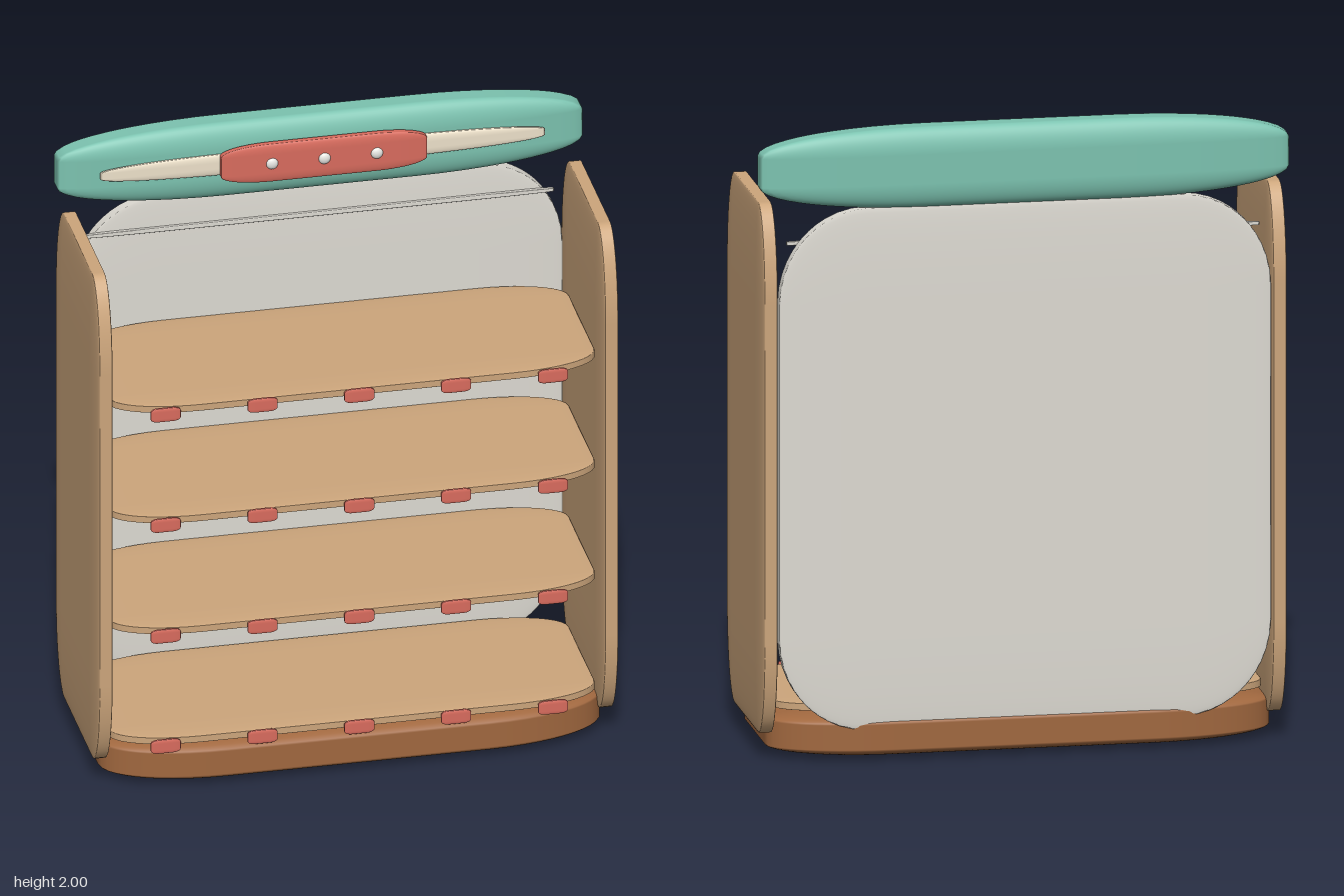
import * as THREE from 'three';
import { RoundedBoxGeometry } from 'three/addons/geometries/RoundedBoxGeometry.js';

const mat = (color) => new THREE.MeshStandardMaterial({ color });

// Soft slab: a rounded unit cube stretched to fill the given ranges,
// so its corners become broad, elliptical curves.
function slab(name, material, [x0, x1], [y0, y1], [z0, z1], radius = 0.18) {
  const geometry = new RoundedBoxGeometry(1, 1, 1, 6, radius);
  geometry.scale(x1 - x0, y1 - y0, z1 - z0);
  const mesh = new THREE.Mesh(geometry, material);
  mesh.name = name;
  mesh.position.set((x0 + x1) / 2, (y0 + y1) / 2, (z0 + z1) / 2);
  return mesh;
}

export function createModel() {
  const model = new THREE.Group();
  model.name = 'shopShelf';

  const wood = mat(0xcda67c);
  const darkWood = mat(0xa1683f);
  const panel = mat(0xdedbd3);
  const teal = mat(0x7cc3b0);
  const red = mat(0xd96c5e);
  const cream = mat(0xeee2cb);
  const white = mat(0xe8e8e4);

  // Plinth, back and side panels
  model.add(slab('base', darkWood, [-0.79, 0.79], [0, 0.15], [-0.31, 0.32], 0.24));
  model.add(slab('backPanel', panel, [-0.77, 0.77], [0.1, 1.75], [-0.31, -0.262]));
  model.add(slab('leftSidePanel', wood, [0.768, 0.825], [0.08, 1.76], [-0.31, 0.32]));
  model.add(slab('rightSidePanel', wood, [-0.825, -0.768], [0.08, 1.76], [-0.31, 0.32]));

  // Shelves, each with a row of price tags and a thin rail on the back panel
  [0.163, 0.545, 0.93, 1.313].forEach((y, i) => {
    const tier = new THREE.Group();
    tier.name = `shelfTier${i + 1}`;
    tier.add(slab('shelf', wood, [-0.765, 0.765], [y - 0.016, y + 0.016], [-0.26, 0.315]));
    for (let k = -2; k <= 2; k++) {
      const x = k * 0.305;
      tier.add(slab('priceTag', red, [x - 0.047, x + 0.047], [y - 0.03, y + 0.016], [0.318, 0.33], 0.25));
    }
    tier.add(slab('backRail', panel, [-0.74, 0.74], [y + 0.32, y + 0.335], [-0.268, -0.254]));
    model.add(tier);
  });

  // Header sign with stripe, badge and studs
  const sign = new THREE.Group();
  sign.name = 'headerSign';
  sign.add(slab('signBoard', teal, [-0.828, 0.828], [1.745, 2], [-0.33, -0.206], 0.32));
  sign.add(slab('signStripe', cream, [-0.7, 0.7], [1.837, 1.91], [-0.215, -0.195], 0.36));
  sign.add(slab('signBadge', red, [-0.325, 0.325], [1.808, 1.938], [-0.206, -0.175], 0.25));
  for (const x of [-0.165, 0, 0.165]) {
    const stud = new THREE.Mesh(new THREE.SphereGeometry(0.019, 20, 14), white);
    stud.name = 'signStud';
    stud.scale.z = 0.55;
    stud.position.set(x, 1.873, -0.176);
    sign.add(stud);
  }
  model.add(sign);

  return model;
}
